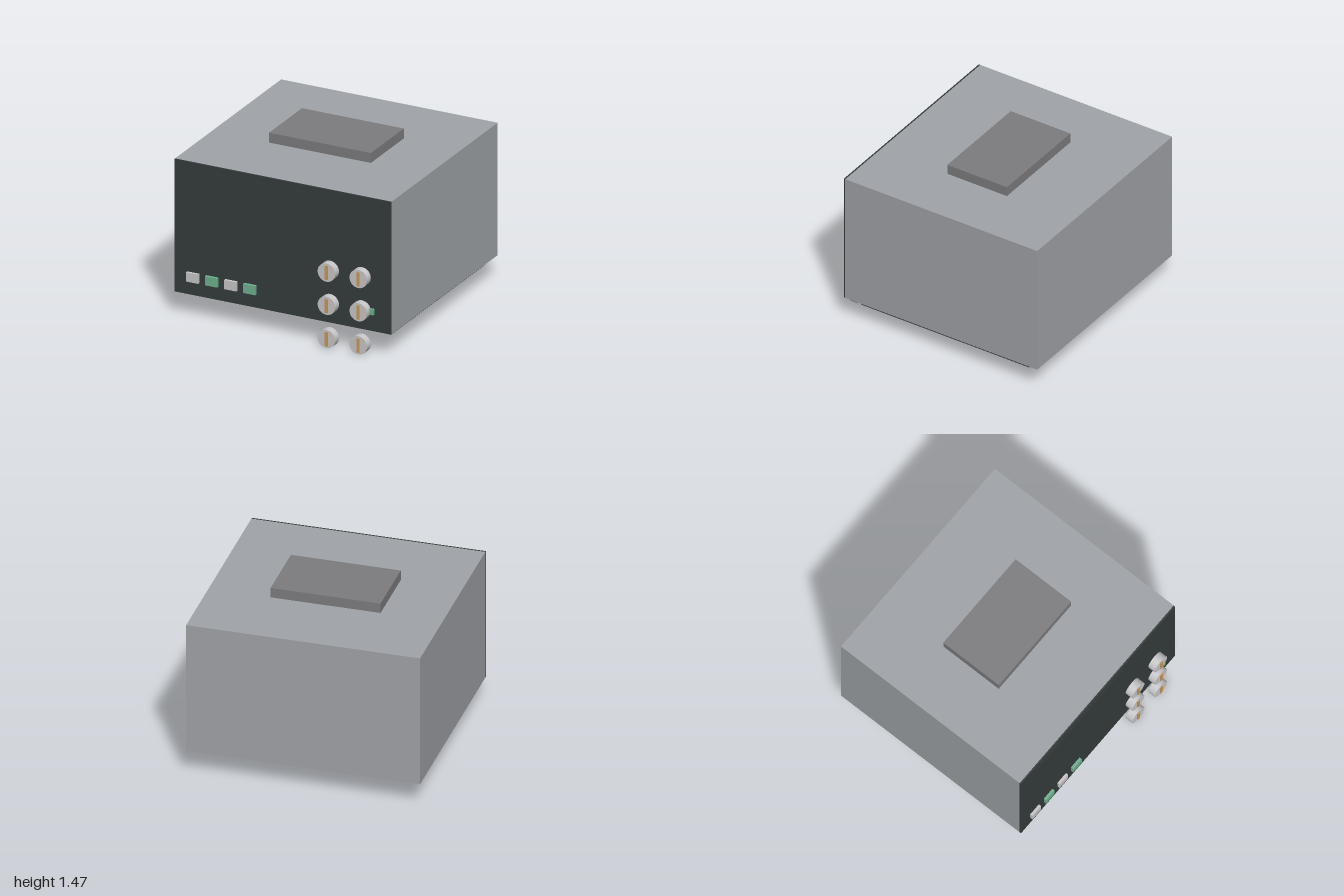
import * as THREE from 'three';

const mat = (name, color) => {
  const m = new THREE.MeshStandardMaterial({ color });
  m.name = name;
  return m;
};

export function createModel() {
  const group = new THREE.Group();
  group.name = 'transceiver';

  const caseGrey = mat('caseGrey', 0xa0a3a8);
  const panelDark = mat('panelDark', 0x353c3c);
  const lidGrey = mat('lidGrey', 0x7d7d80);
  const lightGrey = mat('lightGrey', 0xc8c8ca);
  const green = mat('green', 0x70b28f);
  const orange = mat('orange', 0xcc9955);

  // Box given by its lower and upper limits on each axis
  const box = (name, material, [x0, x1], [y0, y1], [z0, z1], parent = group) => {
    const mesh = new THREE.Mesh(new THREE.BoxGeometry(x1 - x0, y1 - y0, z1 - z0), material);
    mesh.position.set((x0 + x1) / 2, (y0 + y1) / 2, (z0 + z1) / 2);
    mesh.name = name;
    parent.add(mesh);
    return mesh;
  };

  const panelZ = 0.914;

  // Housing, front plate and raised display
  box('housing', caseGrey, [-1, 1], [0.203, 1.38], [-0.99, 0.9]);
  box('frontPanel', panelDark, [-1, 1], [0.203, 1.38], [0.9, panelZ]);
  box('display', panelDark, [-0.81, 0.31], [0.5, 1.32], [panelZ, panelZ + 0.004]);

  // Raised block on the top
  box('topBlock', lidGrey, [-0.47, 0.47], [1.38, 1.468], [-0.34, 0.247]);

  // Long feet under both sides
  box('rightFoot', panelDark, [-0.94, -0.706], [0.146, 0.203], [-0.873, 0.782]);
  box('leftFoot', panelDark, [0.706, 0.94], [0.146, 0.203], [-0.873, 0.782]);

  // Row of push buttons, alternating colours
  for (let i = 0; i < 4; i++) {
    const x = -0.824 + i * 0.176;
    box('button', i % 2 ? green : lightGrey, [x - 0.056, x + 0.056], [0.322, 0.404], [panelZ, 0.938]);
  }

  // Small lamp beside the middle knob
  box('lamp', green, [0.79, 0.85], [0.354, 0.404], [panelZ, 0.938]);

  // Two columns of three knobs with a pointer mark
  const knobGeometry = new THREE.CylinderGeometry(0.081, 0.081, 0.068, 32).rotateX(Math.PI / 2);
  for (const x of [0.44, 0.734]) {
    for (const y of [0.082, 0.377, 0.672]) {
      const knob = new THREE.Group();
      knob.name = 'knob';
      knob.position.set(x, y, panelZ);
      const dial = new THREE.Mesh(knobGeometry, lightGrey);
      dial.name = 'dial';
      dial.position.z = 0.034;
      knob.add(dial);
      box('pointer', orange, [-0.014, 0.014], [-0.062, 0.062], [0.068, 0.076], knob);
      group.add(knob);
    }
  }

  return group;
}
